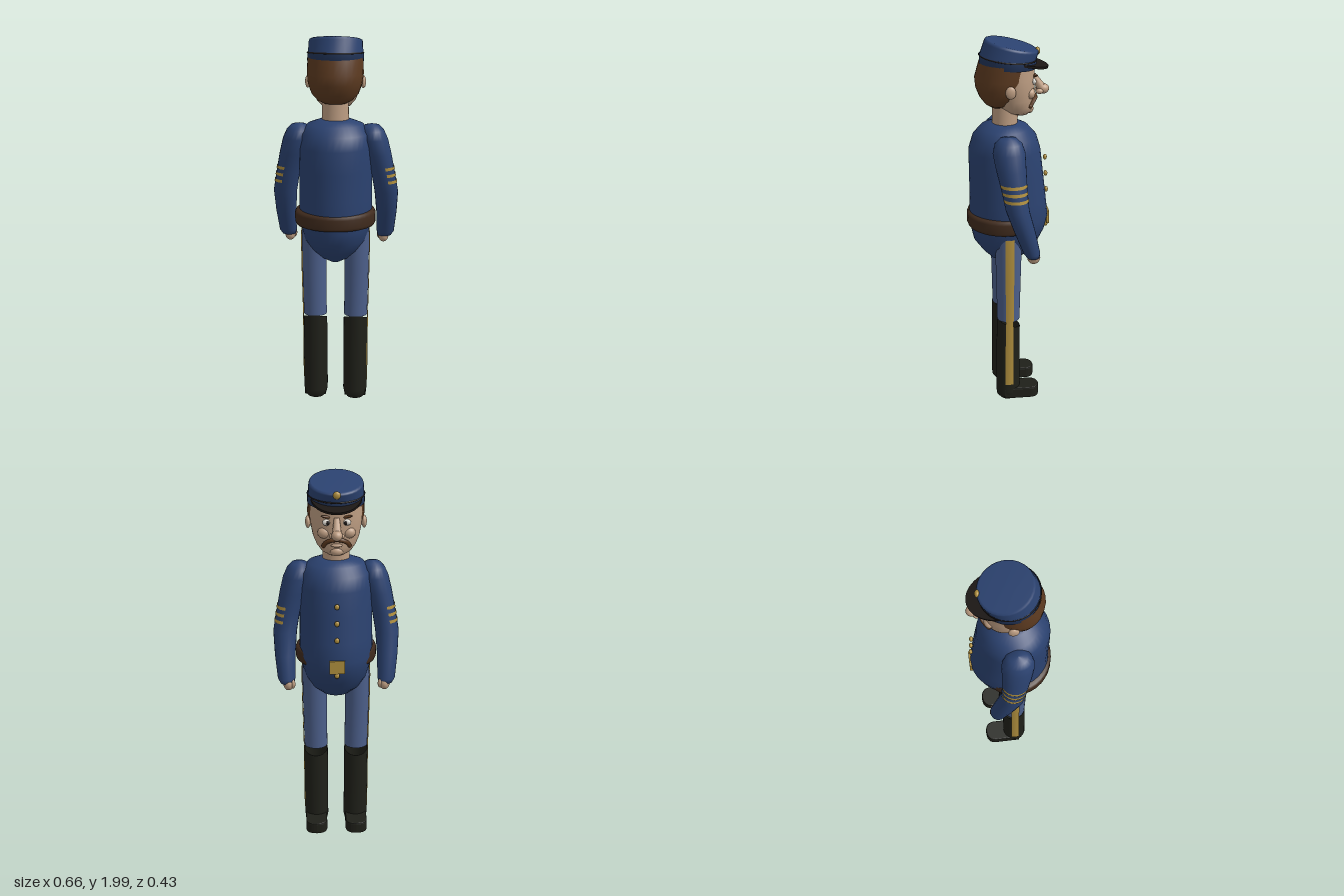
import * as THREE from 'three';

const mat = (color) => new THREE.MeshStandardMaterial({ color, side: THREE.DoubleSide });
const M = {
  coat: mat(0x2b4270), band: mat(0x22355a), trousers: mat(0x4c5f8a), boot: mat(0x1f2019), gold: mat(0xb08f3e),
  skin: mat(0xbd9d82), hair: mat(0x5c3a20), belt: mat(0x402b1d), black: mat(0x1c1715), white: mat(0xd8d4cc),
};

// Skin through elliptical rings [y, cx, cz, rx, rz, tilt], listed from bottom to top
function loft(rings, start = 0, sweep = Math.PI * 2, n = 28) {
  const full = sweep > 6.28, cols = full ? n : n + 1, pos = [], idx = [];
  rings.forEach(([y, cx, cz, rx, rz, tilt = 0]) => {
    for (let j = 0; j < cols; j++) {
      const a = start + (sweep * j) / n, z = cz + rz * Math.cos(a);
      pos.push(cx + rx * Math.sin(a), y + tilt * z, z);
    }
  });
  for (let i = 0; i < rings.length - 1; i++) for (let j = 0; j < n; j++) {
    const k = (j + 1) % cols, a = i * cols + j, b = i * cols + k;
    idx.push(a, b, b + cols, a, b + cols, a + cols);
  }
  const g = new THREE.BufferGeometry();
  g.setAttribute('position', new THREE.Float32BufferAttribute(pos, 3));
  g.setIndex(idx);
  g.computeVertexNormals();
  return g;
}

// Ring of a loft at height y, grown outward a little
function ringAt(rings, y, grow) {
  const i = Math.max(1, rings.findIndex((r) => r[0] >= y));
  const a = rings[i - 1], b = rings[i], t = (y - a[0]) / (b[0] - a[0]);
  const r = [0, 1, 2, 3, 4].map((k) => a[k] + (b[k] - a[k]) * t);
  r[3] += grow;
  r[4] += grow;
  return r;
}

const flip = (rings, s) => rings.map(([y, cx, ...rest]) => [y, cx * s, ...rest]);

export function createModel() {
  const root = new THREE.Group();
  const add = (name, geo, m, parent = root) => {
    const mesh = new THREE.Mesh(geo, m);
    mesh.name = name;
    parent.add(mesh);
    return mesh;
  };
  const ball = (name, m, p, r, parent) => {
    const b = add(name, new THREE.SphereGeometry(1, 18, 12), m, parent);
    b.position.set(...p);
    b.scale.set(...r);
    return b;
  };
  const group = (name) => {
    const g = new THREE.Group();
    g.name = name;
    root.add(g);
    return g;
  };

  // Coat with rounded belly
  add('coat', loft([
    [0.79, 0, 0.02, 0, 0], [0.795, 0, 0.02, 0.03, 0.04], [0.815, 0, 0.01, 0.075, 0.08], [0.86, 0, 0.005, 0.13, 0.13],
    [0.92, 0, 0.008, 0.165, 0.172], [0.98, 0, 0, 0.18, 0.194], [1.05, 0, -0.004, 0.193, 0.207],
    [1.15, 0, 0, 0.191, 0.2], [1.3, 0, 0.01, 0.19, 0.193], [1.42, 0, 0.017, 0.19, 0.186],
    [1.49, 0, 0.017, 0.183, 0.165], [1.535, 0, 0.017, 0.145, 0.125], [1.555, 0, 0.015, 0.09, 0.085],
    [1.562, 0, 0.015, 0.06, 0.06], [1.562, 0, 0.015, 0, 0],
  ], 0, Math.PI * 2, 36), M.coat);

  // Belt sinks into the belly at the front
  add('belt', loft([
    [1.0, 0, 0.02, 0.18, 0.17], [1.005, 0, 0.02, 0.207, 0.19], [1.02, 0, 0.02, 0.213, 0.196],
    [1.065, 0, 0.02, 0.213, 0.196], [1.08, 0, 0.02, 0.206, 0.19], [1.085, 0, 0.02, 0.18, 0.17],
  ], 0, Math.PI * 2, 36), M.belt);
  add('buckle', new THREE.BoxGeometry(0.08, 0.07, 0.014), M.gold).position.set(0, 1.035, -0.209);
  [[1.36, -0.196], [1.27, -0.2], [1.18, -0.204], [0.985, -0.204]].forEach(([y, z]) =>
    ball('button', M.gold, [0, y, z], [0.013, 0.015, 0.01]));

  const arm = [
    [0.905, 0.257, -0.1, 0, 0], [0.905, 0.257, -0.1, 0.036, 0.032], [0.93, 0.262, -0.093, 0.046, 0.043],
    [1.05, 0.268, -0.056, 0.054, 0.054], [1.17, 0.267, -0.018, 0.062, 0.06], [1.27, 0.25, -0.004, 0.062, 0.066],
    [1.38, 0.222, 0.01, 0.07, 0.077], [1.46, 0.2, 0.018, 0.073, 0.083], [1.505, 0.193, 0.02, 0.06, 0.07],
    [1.53, 0.19, 0.02, 0.04, 0.045], [1.54, 0.188, 0.02, 0, 0],
  ];
  const leg = [
    [0.06, 0.107, 0.012, 0.062, 0.062], [0.49, 0.109, 0.01, 0.062, 0.06],
    [0.75, 0.113, 0.01, 0.064, 0.066], [0.9, 0.112, 0.01, 0.067, 0.07], [1.0, 0.108, 0.01, 0.068, 0.072],
  ];
  const stripeYs = [0.11, 0.3, 0.49, 0.75, 0.9, 0.97];

  [1, -1].forEach((s) => {
    const side = s > 0 ? 'left' : 'right', out = (s * Math.PI) / 2;

    // Sleeve, three rank stripes and hand
    const a = group(side + 'Arm');
    add('sleeve', loft(flip(arm, s), 0, Math.PI * 2, 20), M.coat, a);
    [1.23, 1.267, 1.304].forEach((y) => {
      const rings = [y - 0.008, y + 0.008].map((h) => ringAt(arm, h, 0.003));
      add('sleeveStripe', loft(flip(rings, s), out - 1.25, 2.5, 14), M.gold, a);
    });
    ball('hand', M.skin, [s * 0.252, 0.902, -0.104], [0.028, 0.036, 0.034], a);
    ball('thumb', M.skin, [s * 0.228, 0.905, -0.118], [0.012, 0.025, 0.013], a);

    // Trouser leg with side stripe
    const l = group(side + 'Leg');
    add('trouserLeg', loft(flip(leg.slice(1), s)), M.trousers, l);
    add('legStripe', loft(flip(stripeYs.map((y) => ringAt(leg, y, 0.005)), s), out - 0.33, 0.66, 6), M.gold, l);

    // Boot: shaft dips at the front, low toe runs forward
    add('bootShaft', loft(flip([
      [0.01, 0.107, 0.012, 0, 0], [0.012, 0.107, 0.012, 0.045, 0.045], [0.03, 0.107, 0.012, 0.058, 0.06],
      [0.06, 0.107, 0.012, 0.064, 0.064], [0.465, 0.109, 0.01, 0.064, 0.062, 0.4],
      [0.465, 0.109, 0.01, 0.06, 0.058, 0.4],
    ], s)), M.boot, l);
    const toe = new THREE.Shape();
    toe.moveTo(-0.052, 0.03);
    toe.lineTo(-0.052, -0.11);
    toe.quadraticCurveTo(-0.048, -0.148, 0, -0.15);
    toe.quadraticCurveTo(0.048, -0.148, 0.052, -0.11);
    toe.lineTo(0.052, 0.03);
    const toeGeo = new THREE.ExtrudeGeometry(toe, {
      depth: 0.046, bevelThickness: 0.008, bevelSize: 0.006, bevelSegments: 2, curveSegments: 6,
    });
    toeGeo.rotateX(Math.PI / 2);
    add('bootToe', toeGeo, M.boot, l).position.set(s * 0.109, 0.073, 0);
  });

  // Neck, face and hair
  const head = group('head');
  add('neck', loft([[1.54, 0, 0.015, 0.07, 0.066], [1.68, 0, 0.012, 0.068, 0.066]]), M.skin, head);
  add('face', loft([
    [1.6, 0, -0.065, 0, 0], [1.602, 0, -0.065, 0.04, 0.038], [1.62, 0, -0.05, 0.075, 0.073],
    [1.65, 0, -0.035, 0.1, 0.09], [1.69, 0, -0.025, 0.118, 0.106], [1.75, 0, -0.02, 0.13, 0.116],
    [1.8, 0, -0.015, 0.134, 0.12], [1.88, 0, -0.005, 0.136, 0.13],
  ]), M.skin, head);
  add('hair', loft([
    [1.645, 0, 0.055, 0, 0], [1.648, 0, 0.055, 0.055, 0.035], [1.665, 0, 0.053, 0.09, 0.065],
    [1.7, 0, 0.045, 0.122, 0.1], [1.75, 0, 0.035, 0.14, 0.13], [1.8, 0, 0.025, 0.146, 0.145],
    [1.88, 0, 0.01, 0.143, 0.138],
  ]), M.hair, head);

  // Long bulbous nose
  const bridge = add('noseBridge', new THREE.CylinderGeometry(0.014, 0.025, 0.085, 12), M.skin, head);
  bridge.position.set(0, 1.768, -0.153);
  bridge.rotation.x = 0.55;
  ball('noseTip', M.skin, [0, 1.73, -0.181], [0.028, 0.027, 0.032], head);

  // Ears, eyes, brows, cheeks and moustache
  [1, -1].forEach((s) => {
    ball('ear', M.skin, [s * 0.143, 1.752, 0.002], [0.014, 0.033, 0.027], head);
    ball('nostril', M.skin, [s * 0.023, 1.722, -0.16], [0.015, 0.014, 0.02], head);
    ball('cheek', M.skin, [s * 0.062, 1.725, -0.105], [0.034, 0.03, 0.028], head);
    ball('eye', M.white, [s * 0.048, 1.783, -0.123], [0.025, 0.017, 0.014], head).rotation.y = s * 0.35;
    ball('pupil', M.black, [s * 0.045, 1.782, -0.135], [0.009, 0.011, 0.005], head);
    const brow = ball('brow', M.hair, [s * 0.05, 1.812, -0.129], [0.034, 0.007, 0.009], head);
    brow.rotation.set(0, s * 0.4, s * 0.25);
    const curve = new THREE.CatmullRomCurve3([
      [0, 1.697, -0.14], [0.03, 1.692, -0.138], [0.055, 1.676, -0.122], [0.066, 1.657, -0.108],
    ].map(([x, y, z]) => new THREE.Vector3(s * x, y, z)));
    add('moustache', new THREE.TubeGeometry(curve, 12, 0.011, 8), M.hair, head);
    ball('moustacheTip', M.hair, [s * 0.066, 1.657, -0.108], [0.011, 0.011, 0.011], head);
  });
  ball('lowerLip', M.skin, [0, 1.663, -0.127], [0.03, 0.009, 0.01], head);
  ball('chin', M.skin, [0, 1.628, -0.108], [0.035, 0.025, 0.025], head);

  // Cap: band, piping and forward-sloping crown
  const cap = group('cap');
  add('capBand', loft([
    [1.86, 0, 0, 0.13, 0.13, 0.08], [1.86, 0, 0, 0.146, 0.146, 0.08], [1.905, 0, 0, 0.144, 0.145, 0.1],
  ], 0, Math.PI * 2, 32), M.band, cap);
  add('capPiping', loft([
    [1.897, 0, 0, 0.144, 0.145, 0.1], [1.901, 0, 0, 0.148, 0.149, 0.1], [1.905, 0, 0, 0.144, 0.145, 0.1],
  ], 0, Math.PI * 2, 32), M.black, cap);
  add('capCrown', loft([
    [1.9, 0, 0, 0.142, 0.143, 0.1], [1.958, 0, -0.018, 0.139, 0.138, 0.22], [1.968, 0, -0.02, 0.136, 0.135, 0.235],
    [1.973, 0, -0.02, 0.127, 0.126, 0.235], [1.973, 0, -0.02, 0, 0, 0.235],
  ], 0, Math.PI * 2, 32), M.coat, cap);
  ball('capBadge', M.gold, [0, 1.927, -0.152], [0.019, 0.02, 0.013], cap);

  // Visor slopes down and forward
  const visor = new THREE.Shape();
  visor.moveTo(-0.13, -0.06);
  visor.bezierCurveTo(-0.1, -0.265, 0.1, -0.265, 0.13, -0.06);
  const visorGeo = new THREE.ExtrudeGeometry(visor, { depth: 0.012, bevelEnabled: false, curveSegments: 20 });
  visorGeo.rotateX(Math.PI / 2);
  const v = add('visor', visorGeo, M.black, cap);
  v.position.y = 1.905;
  v.rotation.x = -0.24;

  return root;
}
